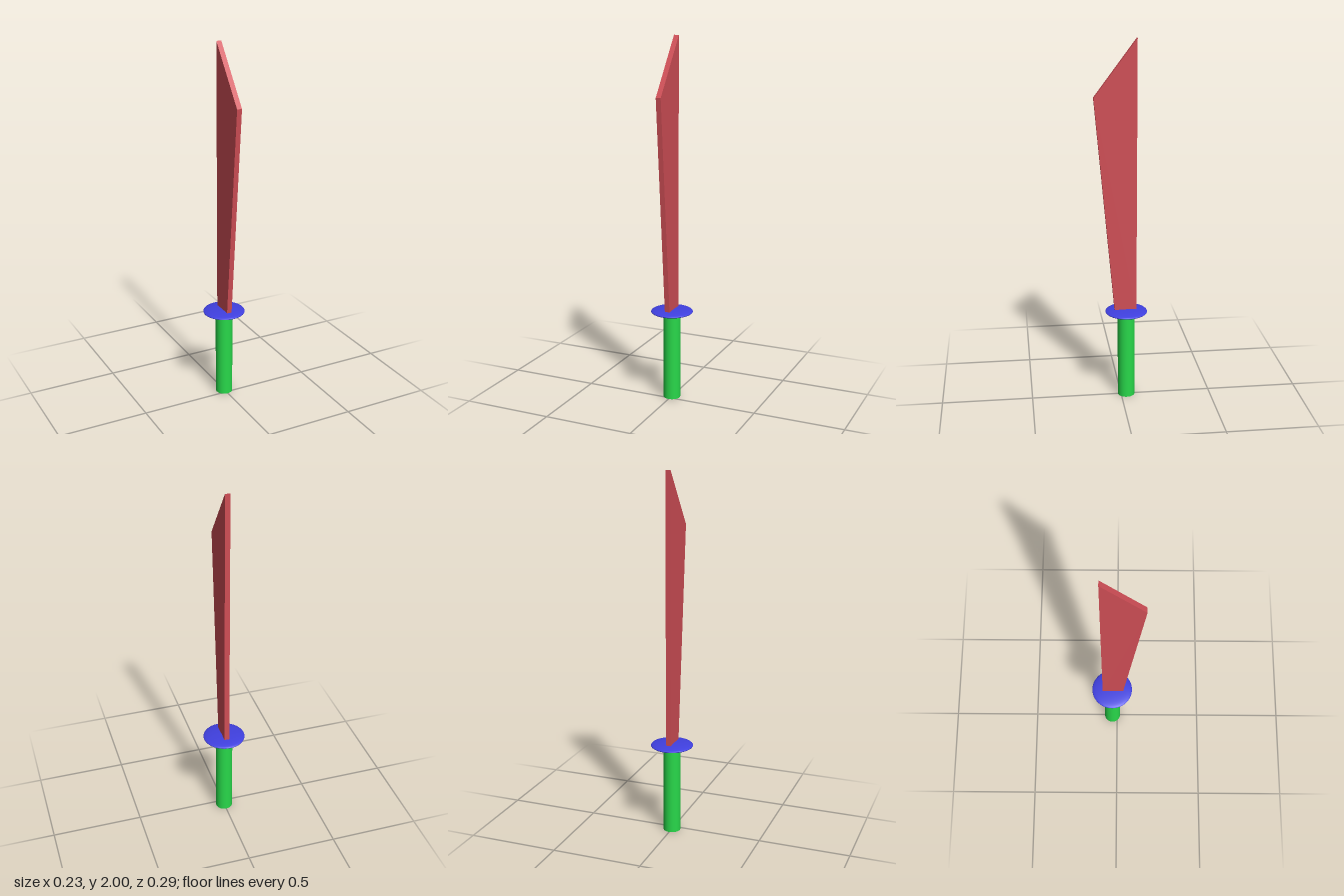
import * as THREE from 'three';

const AXIS_Z = -0.029; // shared centre line of grip and guard

function addPart(group, name, geometry, color) {
  const mesh = new THREE.Mesh(geometry, new THREE.MeshStandardMaterial({ color }));
  mesh.name = name;
  group.add(mesh);
  return mesh;
}

export function createModel() {
  const group = new THREE.Group();
  group.name = 'sword';

  // Round grip, standing on the ground
  const gripHeight = 0.5;
  addPart(group, 'grip', new THREE.CylinderGeometry(0.047, 0.047, gripHeight, 32), 0x28d84a)
    .position.set(0, gripHeight / 2, AXIS_Z);

  // Guard: a sphere flattened into a lens
  const guard = new THREE.SphereGeometry(0.1155, 48, 24);
  guard.scale(1, 0.14, 1);
  addPart(group, 'guard', guard, 0x4040e0).position.set(0, 0.503, AXIS_Z);

  // Blade: straight back, widening edge and slanted tip (profile x becomes z)
  const thickness = 0.028;
  const profile = new THREE.Shape([
    new THREE.Vector2(-0.084, 0.5),
    new THREE.Vector2(0.034, 0.5),
    new THREE.Vector2(0.144, 1.695),
    new THREE.Vector2(-0.084, 2),
  ]);
  const blade = new THREE.ExtrudeGeometry(profile, { depth: thickness, bevelEnabled: false });
  blade.translate(0, 0, -thickness / 2);
  blade.rotateY(-Math.PI / 2);
  addPart(group, 'blade', blade, 0xd04e56);

  return group;
}
